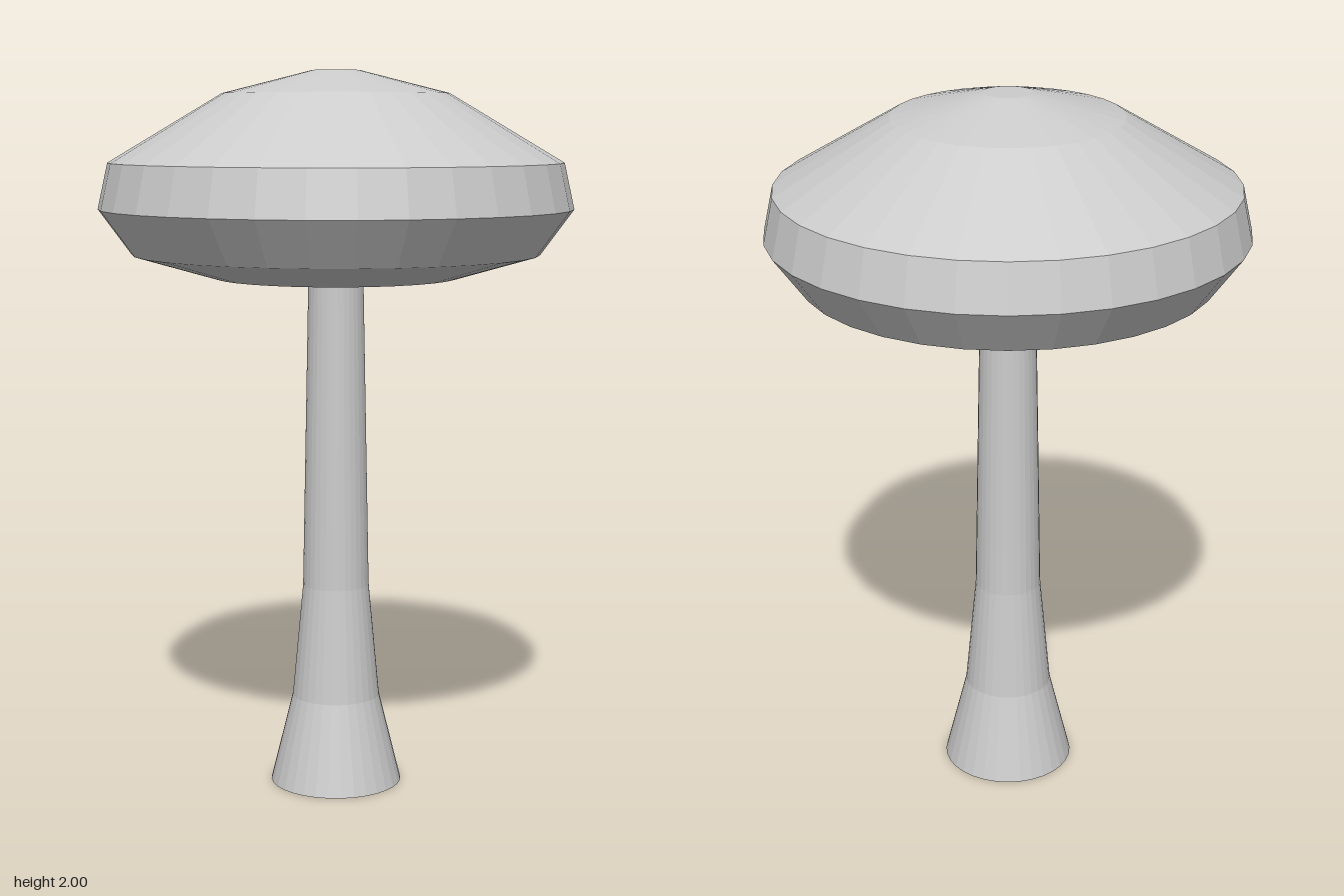
import * as THREE from 'three';

const SIDES = 32;

// Turns a bottom-to-top [radius, height] profile into a faceted round part
function turned(name, profile) {
  const points = profile.map(([r, y]) => new THREE.Vector2(r, y));
  const material = new THREE.MeshStandardMaterial({
    color: 0xcccccc, flatShading: true, side: THREE.DoubleSide,
  });
  const mesh = new THREE.Mesh(new THREE.LatheGeometry(points, SIDES), material);
  mesh.name = name;
  return mesh;
}

export function createModel() {
  const group = new THREE.Group();
  group.name = 'mushroom';

  // Hollow stem, flared at the open foot
  group.add(turned('stem', [
    [0.185, 0], [0.123, 0.25], [0.093, 0.57], [0.075, 1.51],
  ]));

  // Cap: recessed underside, bevelled rim, shallow dome with a small flat top
  group.add(turned('cap', [
    [0.075, 1.51], [0.335, 1.438], [0.56, 1.503], [0.65, 1.627],
    [0.622, 1.752], [0.31, 1.938], [0.065, 2], [0, 2],
  ]));

  return group;
}
